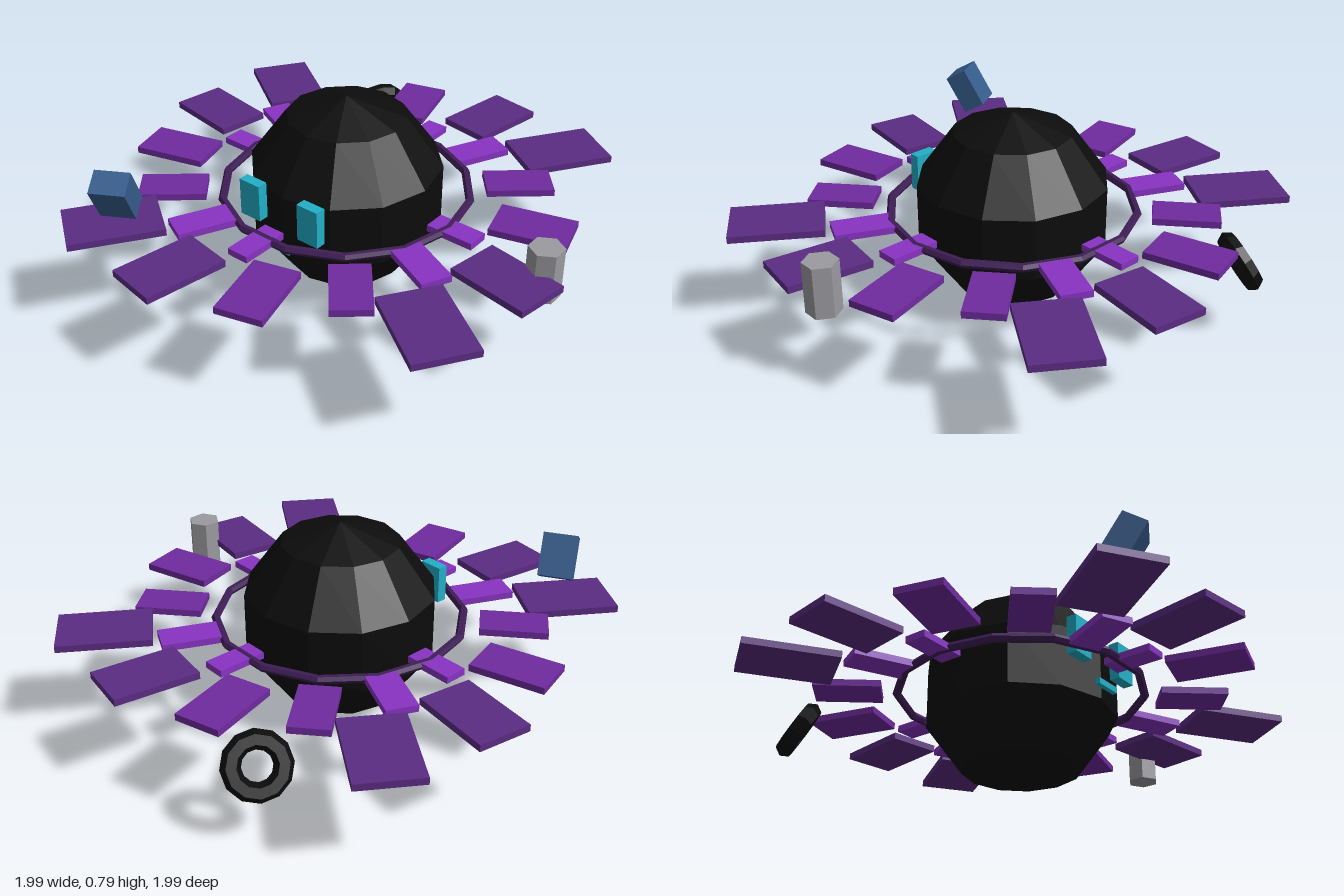
import * as THREE from 'three';

const mat = (name, color) => {
  const m = new THREE.MeshStandardMaterial({ color, flatShading: true });
  m.name = name;
  return m;
};

export function createModel() {
  const black = mat('black', 0x0c0c0c);
  const cyan = mat('cyan', 0x22b0c8);
  const darkPurple = mat('dark purple', 0x3f1d56);
  const purples = [
    mat('bright purple', 0x8833c2),
    mat('mid purple', 0x702ba0),
    mat('deep purple', 0x5c2c84),
  ];
  const blue = mat('blue', 0x355c8c);
  const grey = mat('grey', 0x9a9aa0);

  const root = new THREE.Group();
  root.name = 'orbitingSphere';
  const deg = THREE.MathUtils.degToRad;
  const Y = 0.4; // height of the disc plane

  const add = (name, geometry, material, x, y, z, yaw = 0, pitch = 0) => {
    const mesh = new THREE.Mesh(geometry, material);
    mesh.name = name;
    mesh.position.set(x, y, z);
    mesh.rotation.set(deg(pitch), deg(yaw), 0, 'YXZ');
    root.add(mesh);
    return mesh;
  };

  // Faceted core
  add('core', new THREE.SphereGeometry(0.393, 12, 5), black, 0, Y, 0);

  // Face
  for (const [side, s] of [['left', 1], ['right', -1]]) {
    add(side + 'Eye', new THREE.BoxGeometry(0.095, 0.15, 0.042), cyan, s * 0.14, 0.47, 0.375);
  }
  add('mouth', new THREE.BoxGeometry(0.115, 0.024, 0.02), cyan, 0, 0.323, 0.396);

  // Thin ring around the core, lying flat
  const ring = new THREE.TorusGeometry(0.485, 0.017, 6, 14);
  ring.rotateX(Math.PI / 2);
  add('ring', ring, darkPurple, 0, Y, 0);

  // Four spiral arms of six plates, growing and darkening outward
  for (let i = 0; i < 6; i++) {
    const plate = new THREE.BoxGeometry(0.195 + 0.033 * i, 0.027, 0.09 + 0.031 * i);
    const r = 0.516 + 0.078 * i;
    for (let arm = 0; arm < 4; arm++) {
      const angle = arm * 90 + i * 24.77;
      add('armPlate', plate, purples[Math.floor(i / 2)],
        r * Math.cos(deg(angle)), Y, r * Math.sin(deg(angle)), -angle);
    }
  }

  // Floating debris, spaced evenly round the disc
  const orbit = (k) => [0.89 * Math.cos(deg(120 * k)), 0.89 * Math.sin(deg(120 * k))];
  const [px, pz] = orbit(0), [bx, bz] = orbit(1), [tx, tz] = orbit(2);
  add('floatingPrism', new THREE.CylinderGeometry(0.066, 0.066, 0.2, 6), grey, px, Y, pz);
  add('floatingBox', new THREE.BoxGeometry(0.136, 0.172, 0.097), blue, bx, 0.556, bz, 30, 30);
  add('floatingHoop', new THREE.TorusGeometry(0.09, 0.036, 6, 12), black, tx, 0.3, tz, 60, 30);

  return root;
}
